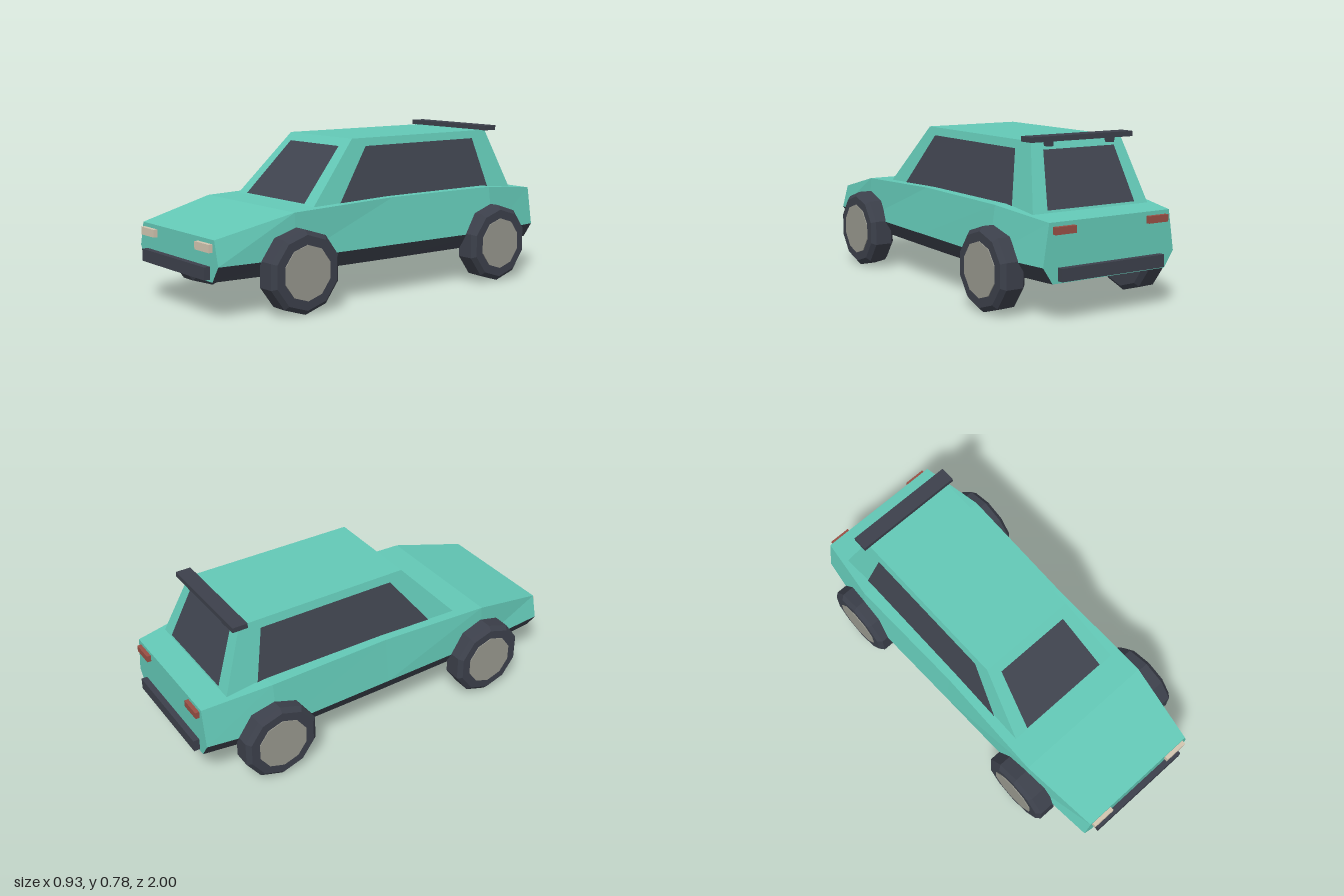
import * as THREE from 'three';

const paint = (name, color) => {
  const m = new THREE.MeshStandardMaterial({ color, flatShading: true });
  m.name = name;
  return m;
};

// Flat-sided geometry from polygons (counter-clockwise corner loops)
function polygons(loops) {
  const pos = [];
  for (const p of loops)
    for (let i = 1; i < p.length - 1; i++) pos.push(...p[0], ...p[i], ...p[i + 1]);
  const g = new THREE.BufferGeometry();
  g.setAttribute('position', new THREE.Float32BufferAttribute(pos, 3));
  g.computeVertexNormals();
  return g;
}

export function createModel() {
  const green = paint('body green', 0x63c8b6);
  const dark = paint('dark trim', 0x3c404b);
  const glass = paint('window glass', 0x40444f);
  const hubGrey = paint('hub grey', 0x97978d);
  const cream = paint('headlight cream', 0xd2c5b0);
  const red = paint('tail light red', 0x984f44);

  const car = new THREE.Group();
  car.name = 'car';
  const add = (name, geometry, material, x = 0, y = 0, z = 0) => {
    const mesh = new THREE.Mesh(geometry, material);
    mesh.name = name;
    mesh.position.set(x, y, z);
    car.add(mesh);
    return mesh;
  };
  const box = (name, material, w, h, d, x, y, z) =>
    add(name, new THREE.BoxGeometry(w, h, d), material, x, y, z);

  // Lower body: z, half widths at floor, sill and shoulder, shoulder height
  const rings = [
    [0.97, 0.30, 0.35, 0.32, 0.365],
    [0.58, 0.335, 0.382, 0.37, 0.455],
    [0, 0.35, 0.395, 0.362, 0.474],
    [-0.63, 0.36, 0.41, 0.378, 0.475],
    [-0.97, 0.31, 0.36, 0.33, 0.44],
  ].map(([z, floor, sill, top, h]) => [
    [floor, 0.175, z], [sill, 0.25, z], [top, h, z],
    [-top, h, z], [-sill, 0.25, z], [-floor, 0.175, z],
  ]);
  const shell = [rings[0], [...rings[4]].reverse()];
  const under = [];
  for (let s = 0; s < rings.length - 1; s++) {
    const a = rings[s], b = rings[s + 1];
    for (let i = 0; i < 6; i++) {
      const j = (i + 1) % 6;
      (i === 0 || i > 3 ? under : shell).push([a[i], b[i], b[j], a[j]]);
    }
  }
  add('body', polygons(shell), green);
  add('sillsAndFloor', polygons(under), dark);

  // Cabin: tapered frustum, its faces given as functions of height
  const y0 = 0.45, y1 = 0.755;
  const slope = (a, b) => (y) => a + (b - a) * (y - y0) / (y1 - y0);
  const sideX = slope(0.32, 0.25);
  const frontZ = slope(0.445, 0.16);
  const rearZ = slope(-0.837, -0.718);
  const level = (y) => [
    [sideX(y), y, frontZ(y)], [sideX(y), y, rearZ(y)],
    [-sideX(y), y, rearZ(y)], [-sideX(y), y, frontZ(y)],
  ];
  const low = level(y0), high = level(y1);
  const cabin = [high];
  for (let i = 0; i < 4; i++) {
    const j = (i + 1) % 4;
    cabin.push([low[i], low[j], high[j], high[i]]);
  }
  add('cabin', polygons(cabin), green);

  // Windows: thin panels just proud of the cabin faces
  const wl = 0.464, wh = 0.716, gap = 0.004;
  const pane = (name, corners) => {
    const [a, b, c] = corners.map((p) => new THREE.Vector3(...p));
    const n = b.sub(a).cross(c.sub(a)).normalize().multiplyScalar(gap);
    add(name, polygons([corners]), glass, n.x, n.y, n.z);
  };
  pane('windshield', [
    [-0.242, wl, frontZ(wl)], [0.242, wl, frontZ(wl)],
    [0.197, wh, frontZ(wh)], [-0.197, wh, frontZ(wh)],
  ]);
  pane('rearWindow', [
    [0.242, wl, rearZ(wl)], [-0.242, wl, rearZ(wl)],
    [-0.197, wh, rearZ(wh)], [0.197, wh, rearZ(wh)],
  ]);
  for (const [side, s] of [['left', 1], ['right', -1]]) {
    const corners = [
      [s * sideX(wl), wl, 0.284], [s * sideX(wl), wl, -0.677],
      [s * sideX(wh), wh, -0.616], [s * sideX(wh), wh, 0.087],
    ];
    pane(side + 'SideWindow', s > 0 ? corners : corners.reverse());

    // Lights and spoiler supports
    box(side + 'Headlight', cream, 0.12, 0.037, 0.03, s * 0.245, 0.327, 0.975);
    box(side + 'TailLight', red, 0.11, 0.033, 0.03, s * 0.255, 0.405, -0.975);
    box(side + 'SpoilerSupport', dark, 0.03, 0.03, 0.04, s * 0.17, 0.747, -0.735);

    // Wheels: ten-sided tyres with bevelled shoulders and a thin hub cap
    const tyre = [[0, -0.063], [0.172, -0.063], [0.194, -0.043],
      [0.194, 0.043], [0.172, 0.063], [0, 0.063]]
      .map(([r, h]) => new THREE.Vector2(r, h));
    for (const [end, z] of [['Front', 0.575], ['Rear', -0.633]]) {
      const wheel = new THREE.Group();
      wheel.name = side + end + 'Wheel';
      const tyreMesh = new THREE.Mesh(new THREE.LatheGeometry(tyre, 10), dark);
      tyreMesh.name = 'tyre';
      const hub = new THREE.Mesh(new THREE.CylinderGeometry(0.128, 0.128, 0.02, 10), hubGrey);
      hub.name = 'hubCap';
      hub.position.y = 0.057;
      wheel.add(tyreMesh, hub);
      // Axle along x with a corner of the polygon at the top
      wheel.rotation.set(Math.PI / 2, 0, -s * Math.PI / 2, 'ZXY');
      wheel.rotation.set(0, Math.PI / 2, 0);
      wheel.rotation.set(0, s > 0 ? Math.PI / 2 : -Math.PI / 2, 0);
      tyreMesh.rotation.x = hub.rotation.x = Math.PI / 2;
      hub.position.set(0, 0, 0.057);
      wheel.position.set(s * 0.398, 0.194, z);
      car.add(wheel);
    }
  }

  // Bumpers and roof spoiler
  box('frontBumper', dark, 0.564, 0.058, 0.05, 0, 0.215, 0.975);
  box('rearBumper', dark, 0.564, 0.058, 0.05, 0, 0.215, -0.975);
  box('spoiler', dark, 0.564, 0.024, 0.076, 0, 0.766, -0.728);
  return car;
}
